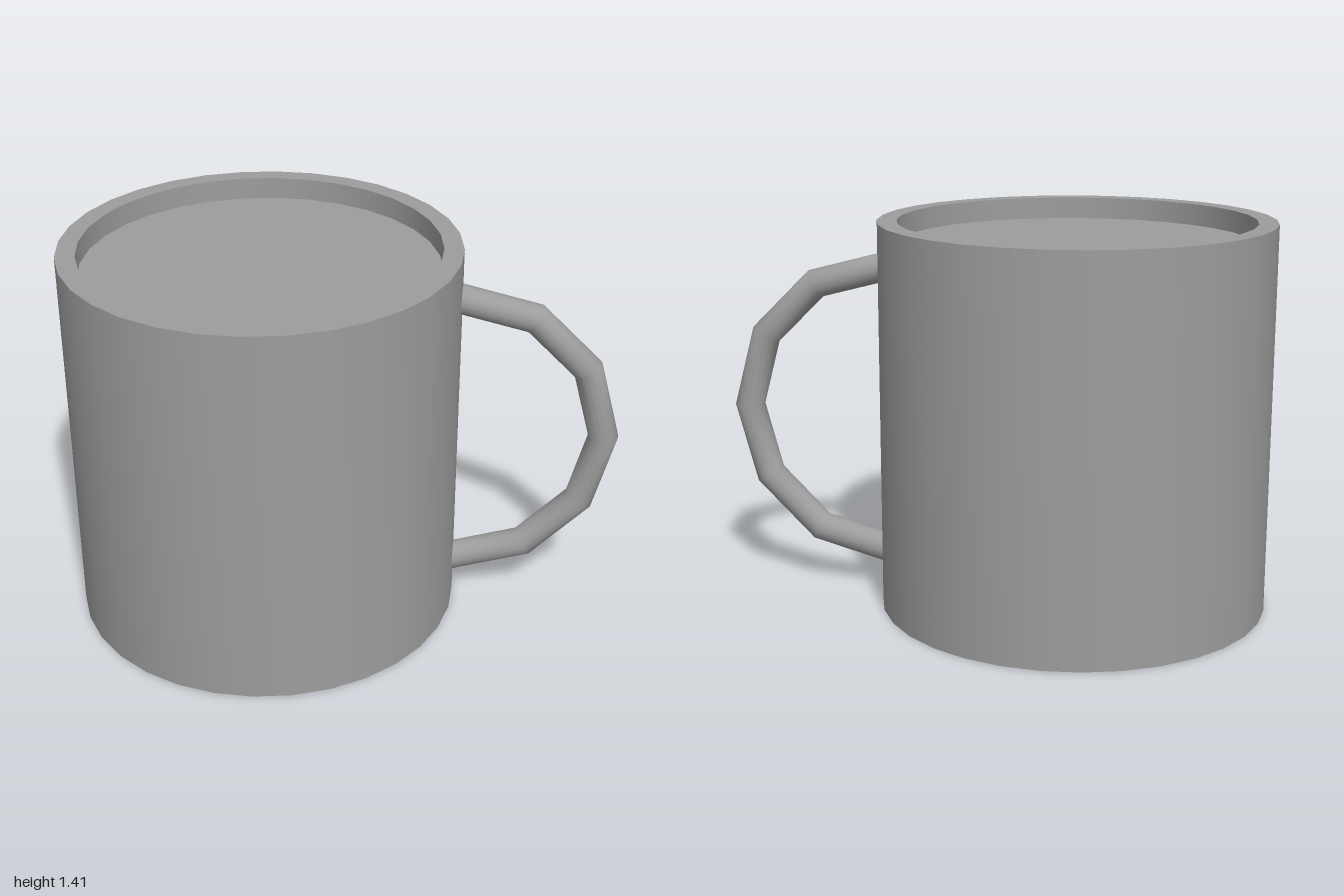
import * as THREE from 'three';
import { toCreasedNormals } from 'three/addons/utils/BufferGeometryUtils.js';

export function createModel() {
  const group = new THREE.Group();
  const material = new THREE.MeshStandardMaterial({ color: 0x9d9d9d });
  const segments = 32, radius = 0.707, innerRadius = 0.637, height = 1.414;
  const cupX = radius - 1;

  const add = (name, geometry, x, y) => {
    const mesh = new THREE.Mesh(geometry, material);
    mesh.name = name;
    mesh.position.set(x, y, 0);
    group.add(mesh);
  };

  // Hollow cup: base, outer wall, flat rim, inner wall, inner floor
  const profile = [
    [0, 0], [radius, 0], [radius, height],
    [innerRadius, height], [innerRadius, 0.07], [0, 0.07],
  ].map(([r, y]) => new THREE.Vector2(r, y));
  add('cup', toCreasedNormals(new THREE.LatheGeometry(profile, segments), Math.PI / 4), cupX, 0);

  // Drink filling the cup to just below the rim
  const surface = new THREE.CircleGeometry(innerRadius, segments);
  surface.rotateX(-Math.PI / 2);
  add('drinkSurface', surface, cupX, 1.334);

  // Half-ring handle in six straight pieces, its ends sunk into the wall
  const handle = new THREE.TorusGeometry(0.541, 0.055, 16, 6, Math.PI);
  handle.rotateZ(-Math.PI / 2);
  add('handle', handle, 0.404, 0.685);

  return group;
}
